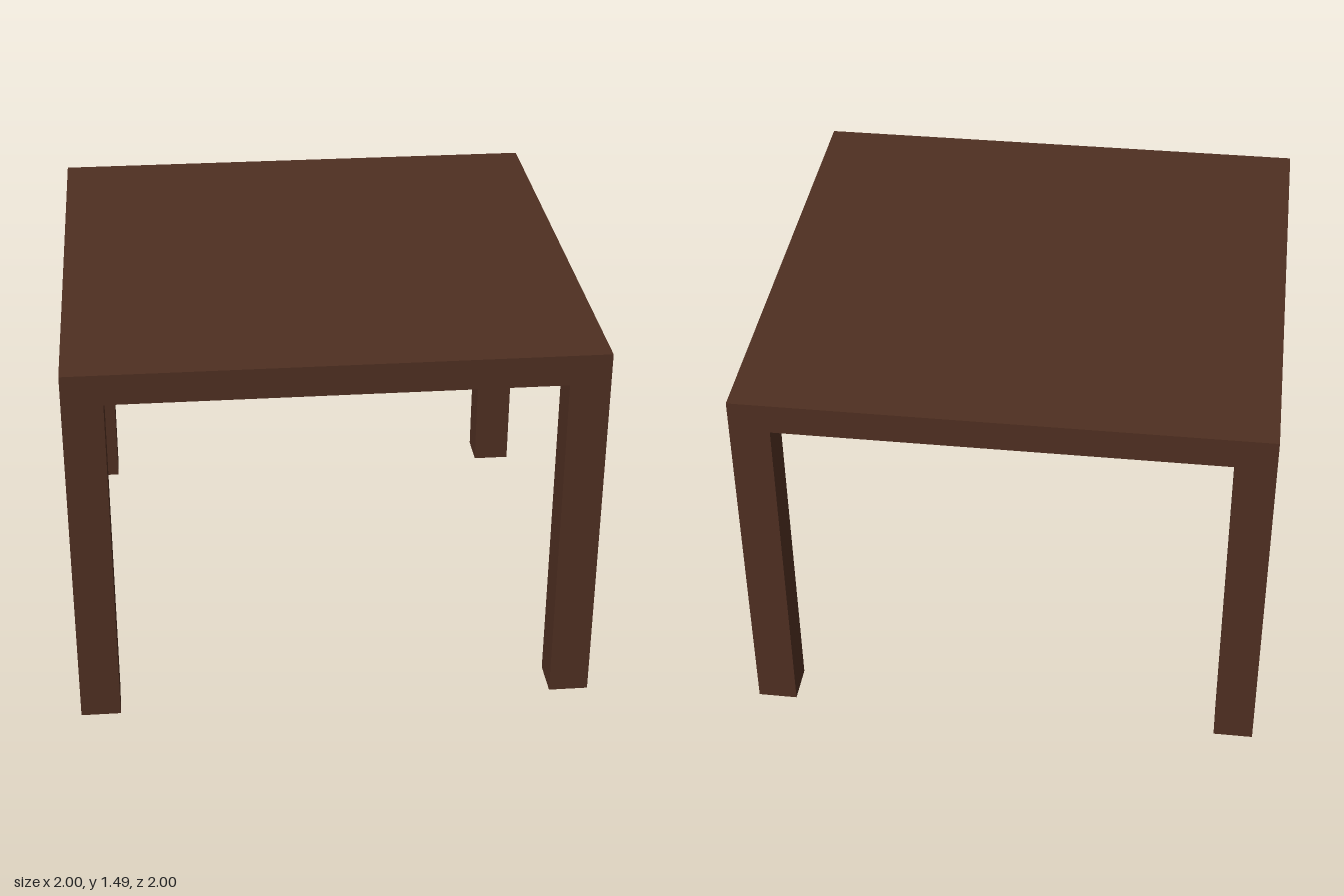
import * as THREE from 'three';

const HEIGHT = 1.487, TOP_THICKNESS = 0.12, LEG = 0.153, WIDTH = 2;

export function createModel() {
  const table = new THREE.Group();
  table.name = 'table';
  const wood = new THREE.MeshStandardMaterial({ color: 0x4f2f21 });

  // Square slab top
  const top = new THREE.Mesh(new THREE.BoxGeometry(WIDTH, TOP_THICKNESS, WIDTH), wood);
  top.name = 'tabletop';
  top.position.y = HEIGHT - TOP_THICKNESS / 2;
  table.add(top);

  // Four square legs, flush with the corners of the top
  const legHeight = HEIGHT - TOP_THICKNESS;
  const legGeometry = new THREE.BoxGeometry(LEG, legHeight, LEG);
  const offset = (WIDTH - LEG) / 2;
  for (const [zName, z] of [['front', 1], ['back', -1]]) {
    for (const [xName, x] of [['Left', 1], ['Right', -1]]) {
      const leg = new THREE.Mesh(legGeometry, wood);
      leg.name = `${zName}${xName}Leg`;
      leg.position.set(x * offset, legHeight / 2, z * offset);
      table.add(leg);
    }
  }
  return table;
}
